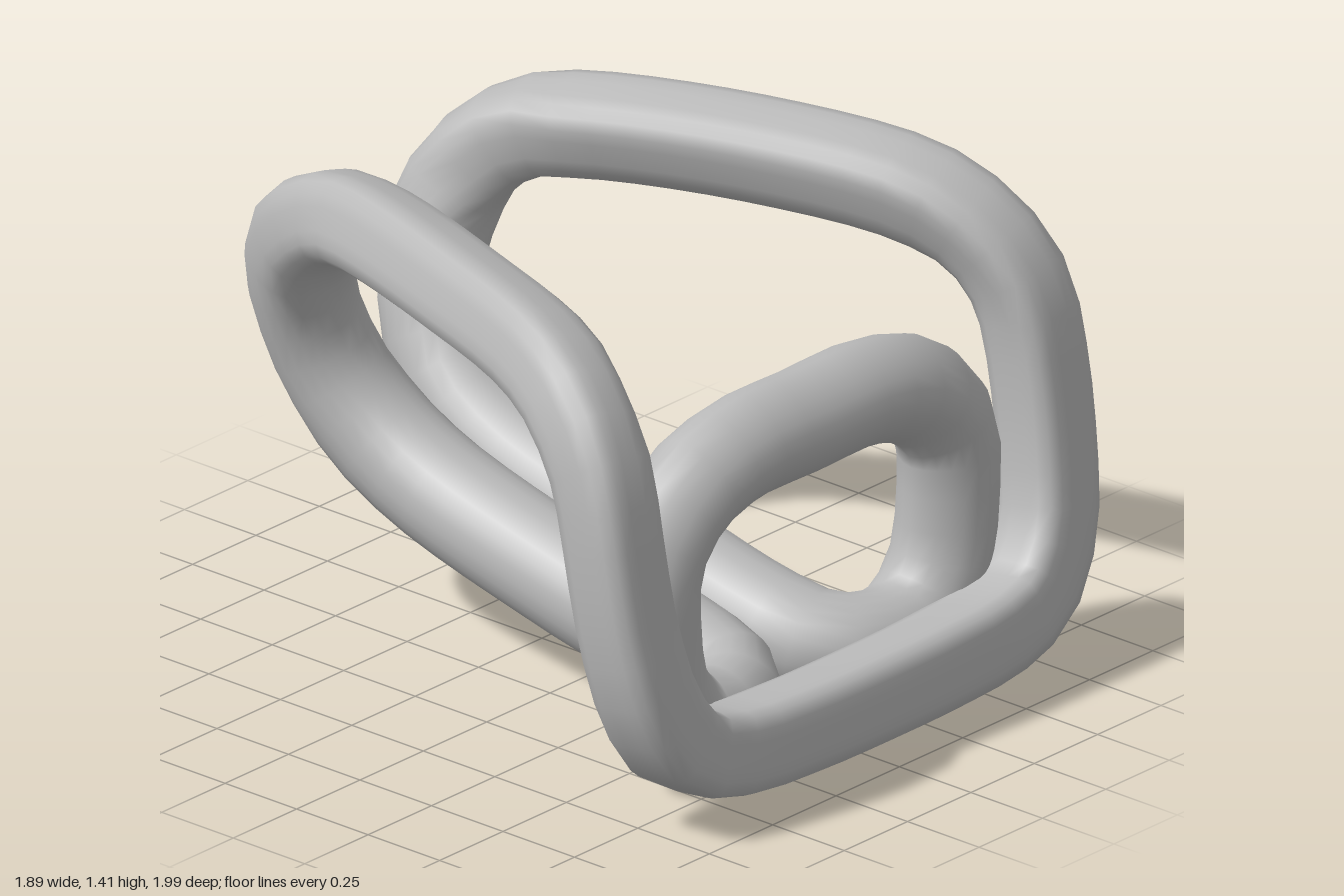
import * as THREE from 'three';
import { mergeVertices } from 'three/addons/utils/BufferGeometryUtils.js';

// A run of stations sharing a section: axis = direction of one section axis,
// square = section exponent (2 round, above 2 squarer, below 2 diamond);
// each point is x, y, z, tube radius
const run = (axis, square, points) => points.map(([x, y, z, radius]) => ({
  at: new THREE.Vector3(x, y, z), axis: new THREE.Vector3(...axis), square, radius,
}));

// Half of the closed loop, on the +x side
const frontBar = run([0, 0.13, 0.99], 6, [
  [0.30, 0.170, 0.868, 0.114], [0.53, 0.183, 0.855, 0.114], [0.68, 0.235, 0.840, 0.113],
]);
const upright = run([0, 0.13, 0.99], 5, [
  [0.78, 0.38, 0.822, 0.11], [0.825, 0.60, 0.782, 0.108],
  [0.835, 0.86, 0.735, 0.108], [0.825, 1.02, 0.69, 0.11],
]);
const upperBend = run([-0.15, 0.65, 0.7], 3, [[0.795, 1.145, 0.59, 0.12]]);
const sideBar = run([-0.28, 0.95, 0.09], 4, [
  [0.735, 1.232, 0.43, 0.12], [0.60, 1.273, 0, 0.12], [0.43, 1.258, -0.50, 0.12],
]);
const backBend = run([-0.25, 0.75, -0.6], 3, [
  [0.385, 1.215, -0.66, 0.125], [0.335, 1.10, -0.79, 0.132],
]);
const descent = run([0, 0, -1], 1.7, [
  [0.26, 0.90, -0.85, 0.147], [0.20, 0.70, -0.81, 0.15],
]);
const middleBar = run([0, -1, -0.3], 2, [
  [0.165, 0.54, -0.69, 0.15], [0.15, 0.425, -0.50, 0.15],
  [0.15, 0.285, 0, 0.15], [0.15, 0.187, 0.44, 0.15],
]);
const turn = run([0, -1, 0], 1.9, [
  [0.19, 0.158, 0.58, 0.15], [0.30, 0.148, 0.647, 0.147], [0.44, 0.168, 0.648, 0.146],
]);
const archSide = run([1, 0, 0], 1.7, [
  [0.55, 0.29, 0.648, 0.145], [0.59, 0.50, 0.648, 0.145], [0.575, 0.69, 0.648, 0.147],
]);
const archTop = run([0, 1, 0], 1.7, [
  [0.46, 0.82, 0.648, 0.147], [0.27, 0.885, 0.648, 0.147],
]);
const half = [frontBar, upright, upperBend, sideBar, backBend,
  descent, middleBar, turn, archSide, archTop].flat();

const flip = new THREE.Vector3(-1, 1, 1);
const mirror = (s) => ({ ...s, at: s.at.clone().multiply(flip), axis: s.axis.clone().multiply(flip) });

export function createModel() {
  const group = new THREE.Group();
  group.name = 'bentTubeSculpture';
  const grey = new THREE.MeshStandardMaterial({ color: 0xbababa });
  grey.name = 'grey';

  // Close the loop through the two centre points and the mirrored half
  const stations = [
    ...run([0, 0.13, 0.99], 6, [[0, 0.168, 0.873, 0.114]]), ...half,
    ...run([0, 1, 0], 1.7, [[0, 0.888, 0.648, 0.147]]), ...half.map(mirror).reverse(),
  ];
  const curve = new THREE.CatmullRomCurve3(stations.map((s) => s.at), true, 'centripetal');
  curve.arcLengthDivisions = 1000;

  // Sweep a tube, giving each ring the section blended from its two stations
  const rings = 130, sides = 24;
  const tube = new THREE.TubeGeometry(curve, rings, 1, sides, true);
  const pos = tube.attributes.position;
  const a = new THREE.Vector3(), b = new THREE.Vector3(), v = new THREE.Vector3();
  for (let i = 0; i <= rings; i++) {
    const u = (i % rings) / rings;
    const centre = curve.getPointAt(u), tangent = curve.getTangentAt(u);
    const t = curve.getUtoTmapping(u) * stations.length;
    const f = t - Math.floor(t);
    const s0 = stations[Math.floor(t) % stations.length];
    const s1 = stations[(Math.floor(t) + 1) % stations.length];
    const radius = THREE.MathUtils.lerp(s0.radius, s1.radius, f);
    const p = THREE.MathUtils.lerp(s0.square, s1.square, f);
    a.lerpVectors(s0.axis, s1.axis, f).projectOnPlane(tangent).normalize();
    b.crossVectors(tangent, a);
    for (let j = 0; j <= sides; j++) {
      const angle = (j % sides) / sides * Math.PI * 2;
      const c = -Math.cos(angle), s = Math.sin(angle);
      const r = radius / (Math.abs(c) ** p + Math.abs(s) ** p) ** (1 / p);
      v.copy(centre).addScaledVector(a, c * r).addScaledVector(b, s * r);
      pos.setXYZ(i * (sides + 1) + j, v.x, v.y, v.z);
    }
  }

  // Weld the seams so the shading runs smoothly around the loop
  tube.deleteAttribute('uv');
  tube.deleteAttribute('normal');
  const welded = mergeVertices(tube, 1e-4);
  welded.computeVertexNormals();

  const loop = new THREE.Mesh(welded, grey);
  loop.name = 'tubeLoop';
  group.add(loop);
  return group;
}
